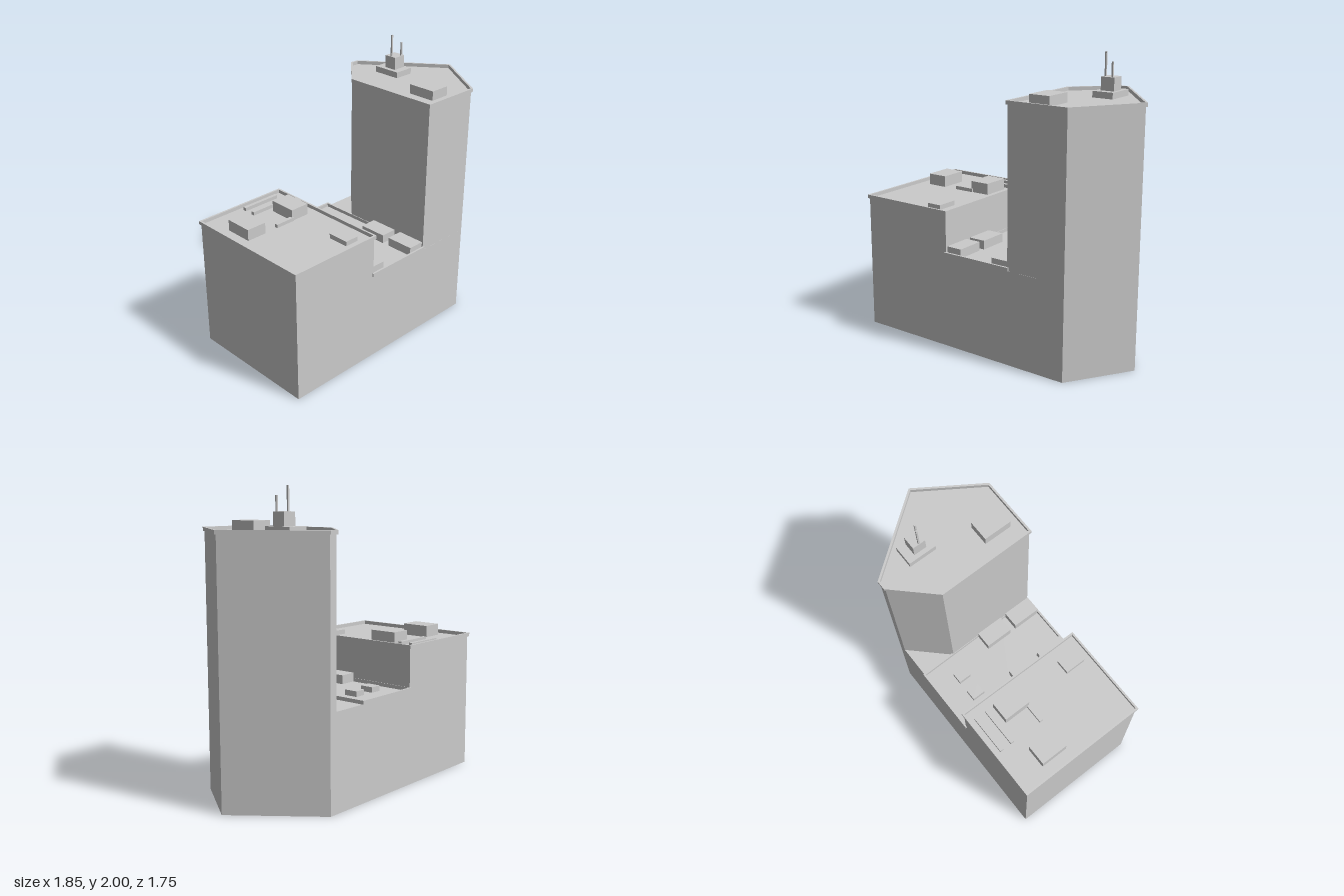
import * as THREE from 'three';

const material = new THREE.MeshStandardMaterial({ color: 0xcccccc, flatShading: true });

// Plan outlines as [x, z] corners
const BASE = [[-0.91, 0.19], [-0.24, 0.86], [0.91, -0.28], [0.81, -0.78], [0.145, -0.865]];
const LOW = [[-0.91, 0.19], [-0.24, 0.86], [0.25, 0.375], [-0.42, -0.3]];
const MIDDLE = [[-0.42, -0.3], [0.25, 0.375], [0.605, 0.02], [-0.075, -0.645]];
const TOWER = [[0.105, -0.825], [0.11, -0.465], [0.605, 0.02], [0.91, -0.28], [0.81, -0.78], [0.145, -0.865]];

// Moves every side of an outline outwards by d
function offset(points, d) {
  const n = points.length;
  const normal = (p, q) => {
    const dx = q[0] - p[0], dz = q[1] - p[1], l = Math.hypot(dx, dz);
    return [-dz / l, dx / l];
  };
  return points.map((p, i) => {
    const a = normal(points[(i + n - 1) % n], p);
    const b = normal(p, points[(i + 1) % n]);
    const k = d / (1 + a[0] * b[0] + a[1] * b[1]);
    return [p[0] + (a[0] + b[0]) * k, p[1] + (a[1] + b[1]) * k];
  });
}

const toVectors = (points) => points.map(([x, z]) => new THREE.Vector2(x, -z));

// Upright prism over an outline, with an optional hole
function prism(name, points, y0, y1, hole) {
  const shape = new THREE.Shape(toVectors(points));
  if (hole) shape.holes.push(new THREE.Path(toVectors(hole)));
  const geometry = new THREE.ExtrudeGeometry(shape, { depth: y1 - y0, bevelEnabled: false });
  geometry.rotateX(-Math.PI / 2);
  const mesh = new THREE.Mesh(geometry, material);
  mesh.name = name;
  mesh.position.y = y0;
  return mesh;
}

// Box turned with the building, standing from y0 to y1
function rotatedBox(name, x, z, width, depth, y0, y1) {
  const mesh = new THREE.Mesh(new THREE.BoxGeometry(width, y1 - y0, depth), material);
  mesh.name = name;
  mesh.position.set(x, (y0 + y1) / 2, z);
  mesh.rotation.y = -Math.PI / 4;
  return mesh;
}

export function createModel() {
  const model = new THREE.Group();
  model.name = 'building';
  const floor = { low: 0.935, middle: 0.648, tower: 1.715 };

  // Building volumes
  model.add(
    prism('baseBlock', BASE, 0, floor.middle),
    prism('lowBlock', LOW, floor.middle, floor.low),
    prism('tower', TOWER, floor.middle, floor.tower),
  );

  // Overhanging parapets around each roof
  const parapets = [['low', LOW], ['middle', MIDDLE], ['tower', TOWER]];
  for (const [key, outline] of parapets) {
    const y = floor[key];
    model.add(prism(key + 'Parapet', offset(outline, 0.01), y, y + 0.025, offset(outline, -0.004)));
  }

  // Rooftop units: roof, name, x, z, width, depth, top
  const units = [
    ['low', 'roofUnit', -0.59, 0.29, 0.2, 0.147, 1.015],
    ['low', 'roofUnit', -0.32, 0.012, 0.2, 0.143, 1.015],
    ['low', 'roofHatch', 0.05, 0.385, 0.153, 0.105, 0.968],
    ['low', 'roofDuct', -0.537, -0.113, 0.025, 0.285, 0.96],
    ['low', 'roofDuct', -0.475, -0.05, 0.025, 0.285, 0.96],
    ['low', 'roofDuct', -0.35, 0.175, 0.025, 0.15, 0.96],
    ['middle', 'terraceUnit', 0.04, 0.075, 0.21, 0.122, 0.71],
    ['middle', 'terraceUnit', 0.205, 0.255, 0.205, 0.122, 0.71],
    ['middle', 'terraceUnit', 0.3, -0.187, 0.205, 0.122, 0.71],
    ['middle', 'terraceUnit', 0.482, -0.01, 0.205, 0.122, 0.71],
    ['middle', 'terraceVent', -0.16, -0.265, 0.095, 0.08, 0.685],
    ['middle', 'terraceVent', -0.045, -0.38, 0.095, 0.08, 0.685],
    ['tower', 'towerUnit', 0.615, -0.227, 0.2, 0.147, 1.78],
    ['tower', 'antennaPlinth', 0.4, -0.675, 0.203, 0.147, 1.757],
    ['tower', 'antennaHousing', 0.408, -0.675, 0.092, 0.096, 1.845],
  ];
  for (const [roof, name, x, z, w, d, top] of units) {
    model.add(rotatedBox(name, x, z, w, d, floor[roof], top));
  }

  // Antenna masts
  model.add(
    rotatedBox('tallMast', 0.383, -0.645, 0.011, 0.011, 1.84, 2),
    rotatedBox('shortMast', 0.452, -0.67, 0.011, 0.011, 1.84, 1.942),
  );
  return model;
}
